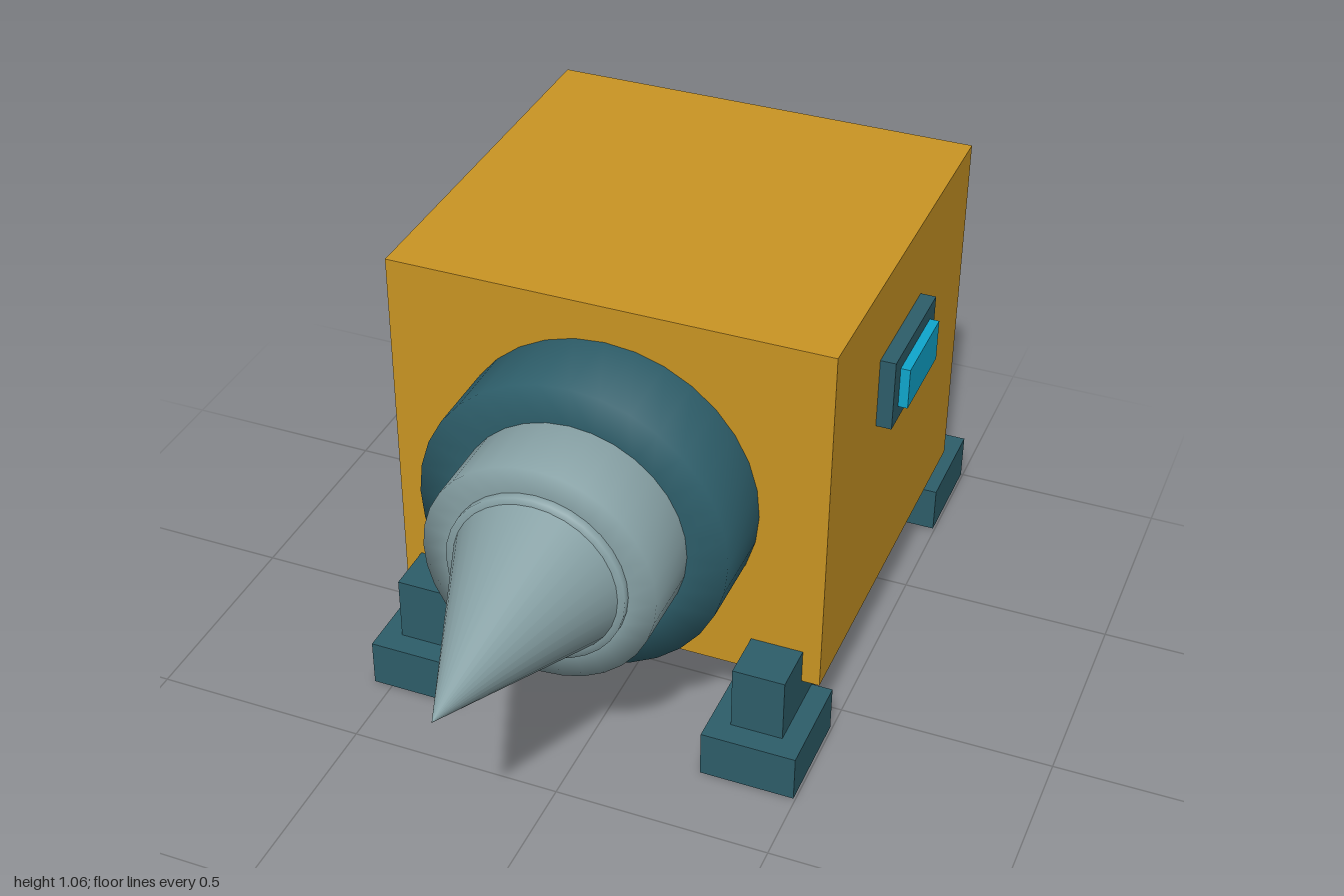
import * as THREE from 'three';

export function createModel() {
  const model = new THREE.Group();
  model.name = 'drillUnit';

  const material = (name, color) => {
    const m = new THREE.MeshStandardMaterial({ color });
    m.name = name;
    return m;
  };
  const orange = material('orange paint', 0xc99423);
  const teal = material('dark teal', 0x2d5d69);
  const steel = material('pale steel', 0x87a1a5);
  const cyan = material('cyan screen', 0x0fa6cc);

  const add = (name, geometry, mat) => {
    const mesh = new THREE.Mesh(geometry, mat);
    mesh.name = name;
    model.add(mesh);
    return mesh;
  };

  // Box given by its lower and upper limits on each axis
  const box = (name, mat, [x0, x1], [y0, y1], [z0, z1]) =>
    add(name, new THREE.BoxGeometry(x1 - x0, y1 - y0, z1 - z0), mat)
      .position.set((x0 + x1) / 2, (y0 + y1) / 2, (z0 + z1) / 2);

  // Turned part on the drill axis; profile points are [radius, z]
  const turned = (name, mat, profile) => {
    const points = profile.map(([r, z]) => new THREE.Vector2(r, z));
    const geometry = new THREE.LatheGeometry(points, 32).rotateX(Math.PI / 2);
    add(name, geometry, mat).position.set(-0.025, 0.612, 0);
  };

  // Housing
  box('housing', orange, [-0.535, 0.487], [0.187, 1.056], [-0.825, 0.145]);

  // Two skids, each on a front and a rear foot
  for (const [side, x] of [['right', -0.434], ['left', 0.384]]) {
    box(side + 'Skid', teal, [x - 0.061, x + 0.061], [0.09, 0.271], [-0.943, 0.264]);
    box(side + 'FrontFoot', teal, [x - 0.111, x + 0.111], [0, 0.114], [0.066, 0.32]);
    box(side + 'RearFoot', teal, [x - 0.111, x + 0.111], [0, 0.114], [-1, -0.746]);
  }

  // Control panel on the left wall
  box('panelFrame', teal, [0.487, 0.523], [0.688, 0.86], [-0.467, -0.17]);
  box('panelScreen', cyan, [0.523, 0.545], [0.724, 0.824], [-0.427, -0.21]);

  // Drill: collar, chuck, thin lip and pointed bit
  turned('collar', teal, [[0.357, 0.145], [0.357, 0.334], [0.26, 0.334]]);
  turned('chuck', steel, [[0.265, 0.334], [0.265, 0.504], [0.2, 0.504]]);
  turned('lip', steel, [[0.203, 0.504], [0.203, 0.523], [0.18, 0.523]]);
  turned('bit', steel, [[0.187, 0.523], [0, 1]]);

  return model;
}
